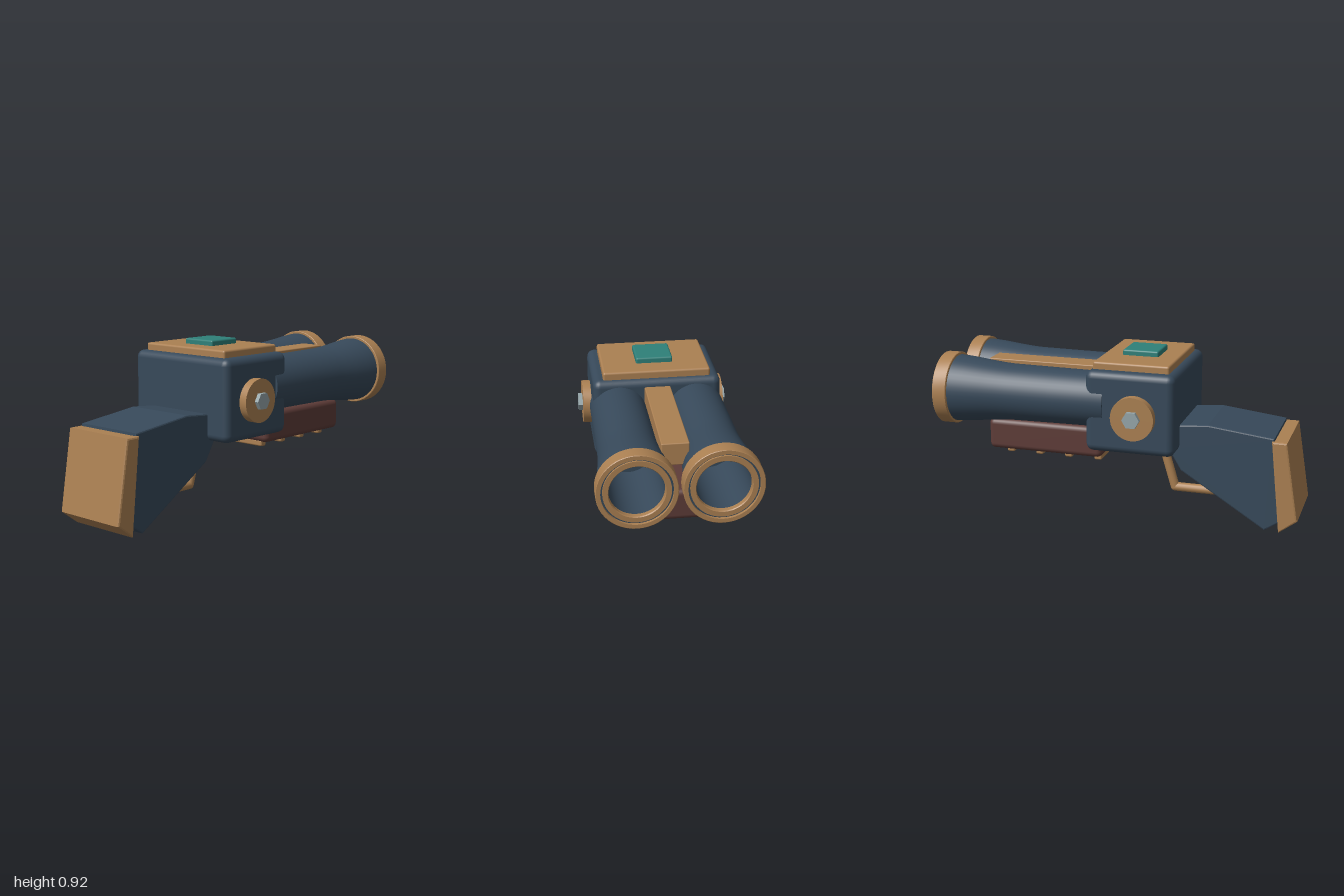
import * as THREE from 'three';
import { toCreasedNormals } from 'three/addons/utils/BufferGeometryUtils.js';
import { RoundedBoxGeometry } from 'three/addons/geometries/RoundedBoxGeometry.js';

const mat = (name, color) => {
  const m = new THREE.MeshStandardMaterial({ color });
  m.name = name;
  return m;
};

export function createModel() {
  const blue = mat('slateBlue', 0x37495a);
  const tan = mat('bronze', 0xab8052);
  const maroon = mat('darkMaroon', 0x5e3c38);
  const teal = mat('teal', 0x2e8079);
  const grey = mat('steelGrey', 0x95a5a9);

  const model = new THREE.Group();
  model.name = 'doubleBarrelBlaster';

  const add = (name, geometry, material, x = 0, y = 0, z = 0) => {
    const mesh = new THREE.Mesh(geometry, material);
    mesh.name = name;
    mesh.position.set(x, y, z);
    model.add(mesh);
    return mesh;
  };

  // Rounded box given by half width and its y and z ranges
  const block = (name, material, hx, y0, y1, z0, z1, r) =>
    add(name, new RoundedBoxGeometry(hx * 2, y1 - y0, z1 - z0, 3, r), material,
      0, (y0 + y1) / 2, (z0 + z1) / 2);

  // Side profile of [z, y] points extruded across the width
  const slab = (name, material, points, hx, bevel) => {
    const shape = new THREE.Shape(points.map(([z, y]) => new THREE.Vector2(z, y)));
    const depth = 2 * (hx - bevel);
    const geo = new THREE.ExtrudeGeometry(shape, {
      depth, bevelSize: bevel, bevelThickness: bevel, bevelOffset: -bevel, bevelSegments: 2,
    });
    geo.translate(0, 0, -depth / 2);
    geo.rotateY(-Math.PI / 2);
    return add(name, geo, material);
  };

  // Turned part along z from [radius, z] points, listed toward the muzzle
  const turned = (points) => {
    const geo = new THREE.LatheGeometry(points.map(([r, z]) => new THREE.Vector2(r, -z)), 48);
    geo.rotateX(-Math.PI / 2);
    return toCreasedNormals(geo, 0.6);
  };

  // Receiver with top plate and button
  block('receiver', blue, 0.345, 0.405, 0.85, -0.14, 0.35, 0.04);
  block('topPlate', tan, 0.29, 0.83, 0.89, -0.11, 0.31, 0.012);
  block('button', teal, 0.1, 0.87, 0.92, 0, 0.2, 0.01);

  // Stock and butt plate
  slab('stock', blue, [[0.2, 0.54], [0.2, 0.43], [0.29, 0.41], [0.358, 0.297],
    [0.823, 0.003], [0.91, 0.06], [0.86, 0.522], [0.503, 0.565]], 0.207, 0.008);
  slab('buttPlate', tan, [[0.848, 0.508], [0.9, 0], [1, 0.075], [0.93, 0.508]], 0.22, 0.01);

  // Fore grip with cross ribs underneath
  block('foreGrip', maroon, 0.248, 0.335, 0.508, -0.74, -0.08, 0.03);
  for (let i = 0; i < 4; i++) {
    const z = -0.115 - i * 0.172;
    block('gripRib', tan, 0.2, 0.308, 0.345, z - 0.022, z + 0.022, 0.01);
  }

  // Rib between the barrels
  block('barrelRib', tan, 0.07, 0.69, 0.81, -0.8, -0.1, 0.006);

  // Barrels, hollow at the muzzle, with an outer band and an inner ring
  const barrelGeo = turned([[0, -0.04], [0.15, -0.04], [0.153, -0.35], [0.156, -0.6],
    [0.16, -0.66], [0.168, -0.74], [0.18, -0.84], [0.186, -0.92], [0.186, -0.985],
    [0.138, -0.985], [0.138, -0.55], [0, -0.55]]);
  const bandGeo = turned([[0.18, -0.92], [0.197, -0.92], [0.2, -0.923], [0.2, -0.997],
    [0.197, -1], [0.176, -1], [0.176, -0.98]]);
  const ringGeo = turned([[0.166, -0.98], [0.166, -0.995], [0.14, -0.995], [0.136, -0.99],
    [0.136, -0.965], [0.139, -0.965]]);
  // Side pivots with hex bolts
  const pivotGeo = toCreasedNormals(new THREE.CylinderGeometry(0.118, 0.118, 0.06, 40).rotateZ(Math.PI / 2), 0.6);
  const boltGeo = toCreasedNormals(
    new THREE.CylinderGeometry(0.048, 0.048, 0.05, 6).rotateZ(Math.PI / 2), 0.5);
  for (const s of [-1, 1]) {
    add('barrel', barrelGeo, blue, s * 0.21, 0.665, 0);
    add('muzzleBand', bandGeo, tan, s * 0.21, 0.665, 0);
    add('muzzleInnerRing', ringGeo, tan, s * 0.21, 0.665, 0);
    add('pivotDisc', pivotGeo, tan, s * 0.36, 0.617, 0.134);
    add('pivotBolt', boltGeo, grey, s * 0.388, 0.617, 0.134);
  }

  // Trigger guard: a bent rod
  const path = [[0.205, 0.37], [0.278, 0.125], [0.56, 0.125], [0.6, 0.2]]
    .map(([z, y]) => new THREE.Vector3(0, y, z));
  const up = new THREE.Vector3(0, 1, 0);
  for (let i = 0; i < path.length - 1; i++) {
    const dir = path[i + 1].clone().sub(path[i]);
    const mid = path[i].clone().add(path[i + 1]).multiplyScalar(0.5);
    const rod = add('guardRod', new THREE.CylinderGeometry(0.025, 0.025, dir.length(), 16), tan,
      mid.x, mid.y, mid.z);
    rod.quaternion.setFromUnitVectors(up, dir.normalize());
    if (i > 0) add('guardBend', new THREE.SphereGeometry(0.025, 16, 10), tan, ...path[i].toArray());
  }

  return model;
}
